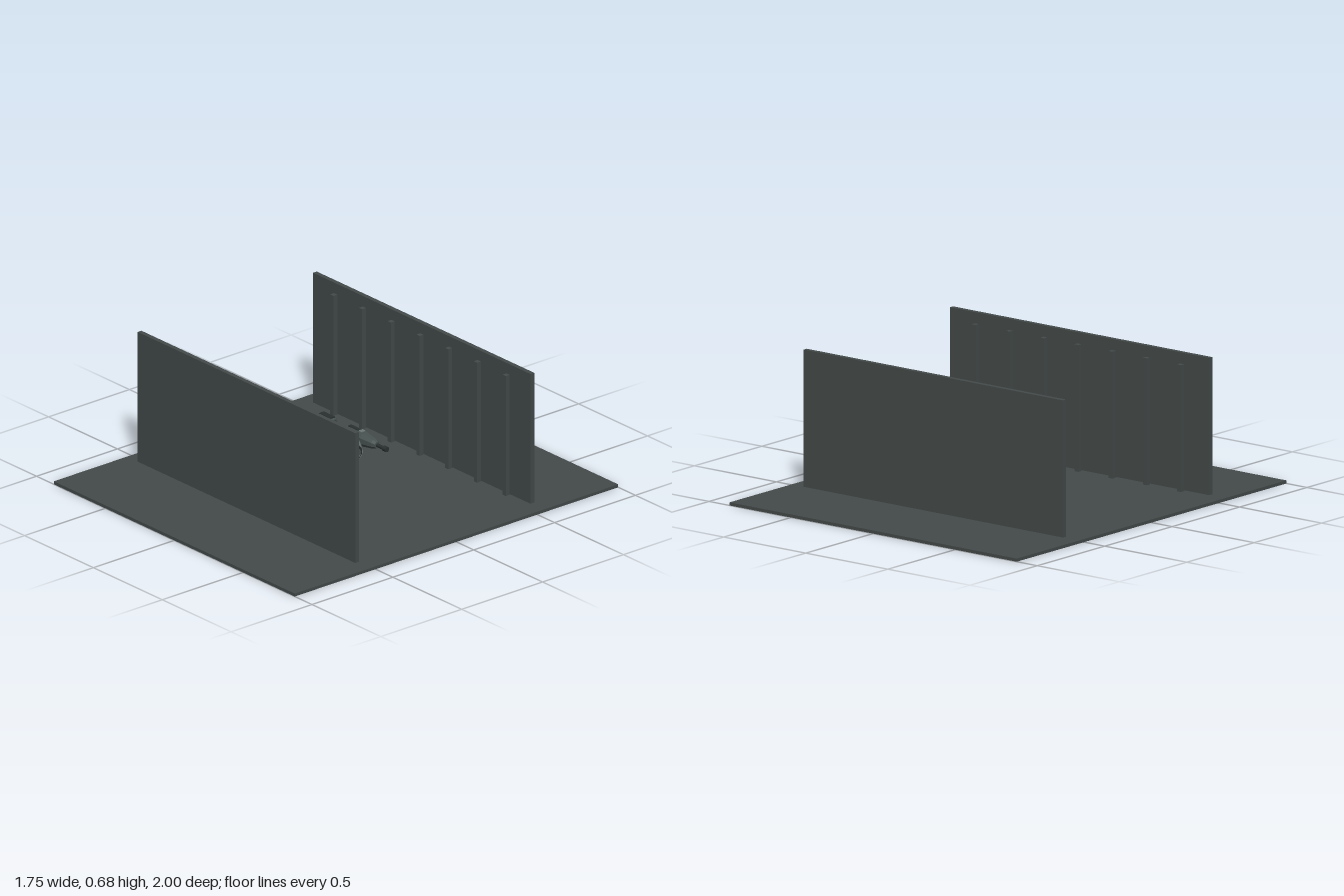
import * as THREE from 'three';

const paint = (name, color) => {
  const m = new THREE.MeshStandardMaterial({ color });
  m.name = name;
  return m;
};

export function createModel() {
  const slate = paint('slate panel', 0x434a49);
  const dark = paint('dark metal', 0x2a3030);
  const mid = paint('grey metal', 0x465150);
  const pale = paint('pale hull', 0x6c7876);
  const root = new THREE.Group();
  root.name = 'hangar';

  const add = (parent, name, geo, mat, x = 0, y = 0, z = 0) => {
    const mesh = new THREE.Mesh(geo, mat);
    mesh.name = name;
    mesh.position.set(x, y, z);
    parent.add(mesh);
    return mesh;
  };
  const box = (w, h, d) => new THREE.BoxGeometry(w, h, d);
  // Faceted solid turned about the x axis; profile is [x, radius] pairs
  const turned = (profile, sides, sy = 1, sz = 1) => {
    let g = new THREE.LatheGeometry(profile.map(([x, r]) => new THREE.Vector2(r, x)), sides, Math.PI / sides);
    g.rotateZ(-Math.PI / 2).scale(1, sy, sz);
    g = g.toNonIndexed();
    g.computeVertexNormals();
    return g;
  };
  const rod = (r, len) => new THREE.CylinderGeometry(r, r, len, 12).rotateZ(-Math.PI / 2);

  // Floor and two ribbed walls
  add(root, 'floor', box(1.75, 0.015, 2), slate, 0, 0.0075, 0);
  for (const s of [1, -1]) {
    const wall = new THREE.Group();
    wall.name = s > 0 ? 'frontWall' : 'backWall';
    add(wall, 'wallPanel', box(1.58, 0.665, 0.023), slate, 0, 0.3515, s * 0.542);
    for (let i = -3; i <= 3; i++)
      add(wall, 'wallRib', box(0.024, 0.618, 0.025), slate, i * 0.2085, 0.321, s * 0.5195);
    root.add(wall);
  }

  // Hovering craft, nose towards +x
  const craft = new THREE.Group();
  craft.name = 'craft';
  craft.position.y = 0.212;
  root.add(craft);
  add(craft, 'hull', turned([[-0.155, 0], [-0.155, 0.07], [-0.14, 0.086], [-0.06, 0.098],
    [0.02, 0.102], [0.055, 0.094]], 16, 0.8, 1), mid);
  add(craft, 'noseCone', turned([[0.055, 0.094], [0.095, 0.076], [0.145, 0.043], [0.145, 0]], 16, 0.8, 1), pale);
  add(craft, 'hullBand', turned([[0.035, 0.09], [0.035, 0.102], [0.052, 0.098], [0.052, 0.09]], 16, 0.8, 1), dark);
  add(craft, 'noseRing', new THREE.TorusGeometry(0.03, 0.006, 8, 24).rotateY(Math.PI / 2), dark, 0.146, 0.006, 0);
  add(craft, 'noseLens', rod(0.025, 0.008), mid, 0.147, 0.006, 0);
  add(craft, 'tailNozzle', turned([[-0.165, 0], [-0.165, 0.04], [-0.15, 0.05]], 12), dark);

  // Top sensor pod with its neck
  add(craft, 'topNeck', box(0.07, 0.03, 0.03), dark, -0.06, 0.08, 0);
  add(craft, 'topPod', turned([[-0.115, 0], [-0.115, 0.024], [-0.1, 0.035], [-0.035, 0.035],
    [-0.015, 0.024], [-0.015, 0]], 12, 0.7, 1), mid, 0, 0.105, 0);
  add(craft, 'topPodPanel', box(0.08, 0.006, 0.03), dark, -0.065, 0.128, 0);
  add(craft, 'topLens', rod(0.014, 0.006), dark, -0.014, 0.105, 0);

  // Belly pod
  add(craft, 'bellyPod', turned([[-0.1, 0], [-0.1, 0.028], [-0.08, 0.043], [0.02, 0.043],
    [0.05, 0.026], [0.05, 0]], 12, 0.92, 1), dark, 0, -0.11, 0);
  add(craft, 'bellyLens', rod(0.018, 0.008), mid, 0.052, -0.11, 0);

  // Gun pods, joints and belly braces on both sides
  for (const s of [1, -1]) {
    const side = new THREE.Group();
    side.name = s > 0 ? 'leftArm' : 'rightArm';
    craft.add(side);
    add(side, 'joint', rod(0.024, 0.11), dark, -0.05, -0.006, s * 0.1);
    add(side, 'podLink', box(0.06, 0.024, 0.04), dark, -0.04, -0.006, s * 0.115);
    add(side, 'gunPod', turned([[-0.1, 0], [-0.1, 0.028], [-0.085, 0.037], [0.03, 0.037],
      [0.1, 0.025], [0.122, 0.018], [0.122, 0]], 8, 1, 0.92), mid, 0, -0.006, s * 0.152);
    add(side, 'gunPodPanel', box(0.1, 0.006, 0.022), dark, -0.03, 0.028, s * 0.152);
    add(side, 'gunPodTrim', box(0.022, 0.007, 0.026), pale, 0.01, 0.0285, s * 0.152);
    add(side, 'barrel', rod(0.009, 0.08), dark, 0.15, -0.006, s * 0.152);
    add(side, 'muzzle', rod(0.013, 0.025), dark, 0.18, -0.006, s * 0.152);
    const brace = new THREE.CatmullRomCurve3([
      new THREE.Vector3(-0.02, -0.035, s * 0.125), new THREE.Vector3(-0.02, -0.065, s * 0.12),
      new THREE.Vector3(-0.02, -0.07, s * 0.065), new THREE.Vector3(-0.02, -0.11, s * 0.058),
      new THREE.Vector3(-0.02, -0.125, s * 0.03)]);
    add(side, 'brace', new THREE.TubeGeometry(brace, 20, 0.006, 6), dark);
  }
  return root;
}
